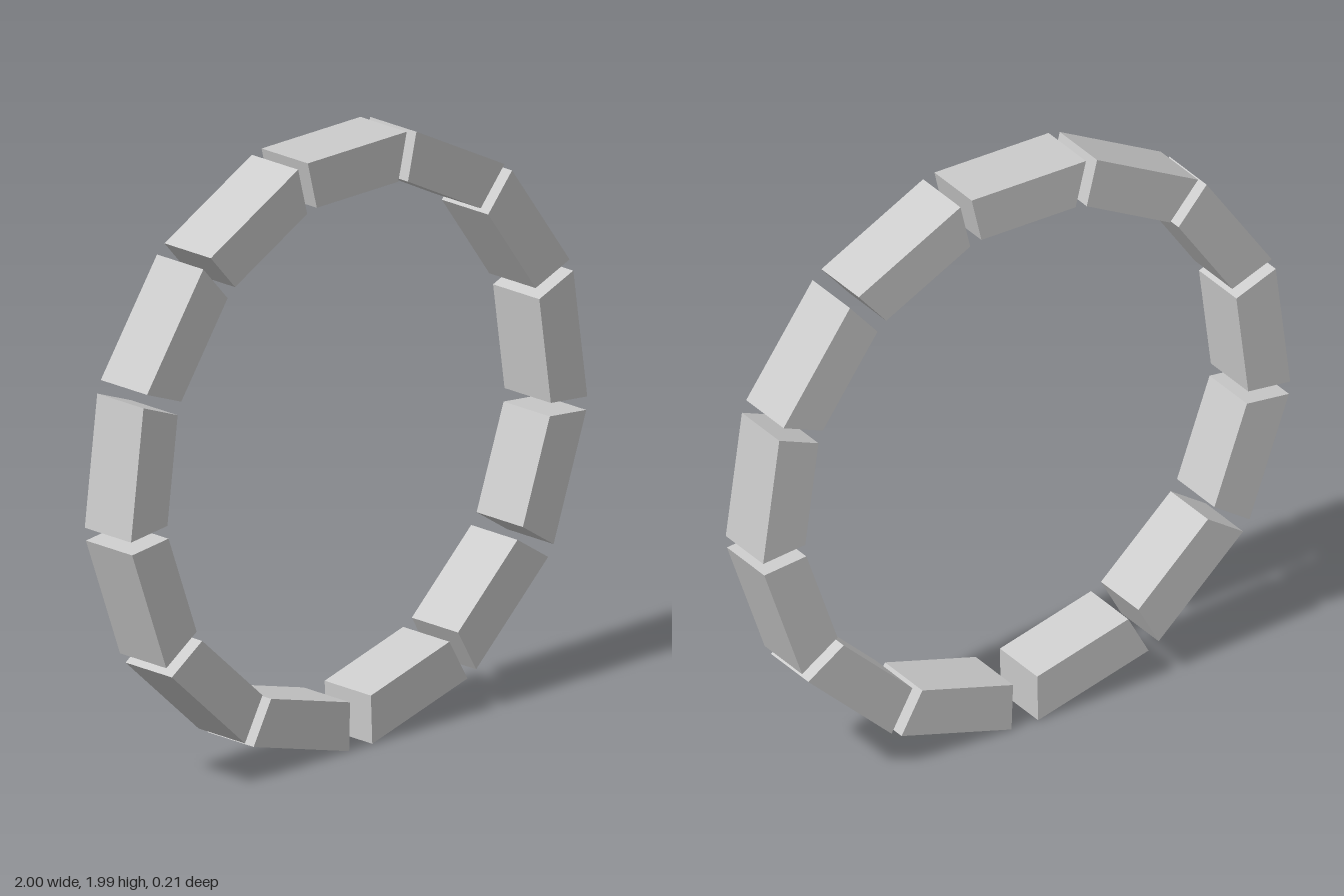
import * as THREE from 'three';

const COUNT = 13;
const RADIUS = 0.981;      // ring centre to the middle of a block's outer face
const THICKNESS = 0.156;
const DEPTH = 0.207;
const OUTER_HALF = 0.217;  // half length of the outer edge
const INNER_HALF = 0.179;  // half length of the inner edge
const FIRST_ANGLE = 15.8;  // degrees round from the bottom
const STEP = 27.44;        // slightly under a full share, leaving a wider gap at the bottom

// Wedge-shaped block lying at the bottom of the ring
function blockGeometry() {
  const inner = -RADIUS + THICKNESS;
  const shape = new THREE.Shape([
    new THREE.Vector2(-OUTER_HALF, -RADIUS),
    new THREE.Vector2(OUTER_HALF, -RADIUS),
    new THREE.Vector2(INNER_HALF, inner),
    new THREE.Vector2(-INNER_HALF, inner),
  ]);
  const geometry = new THREE.ExtrudeGeometry(shape, { depth: DEPTH, bevelEnabled: false });
  return geometry.translate(0, 0, -DEPTH / 2);
}

export function createModel() {
  const model = new THREE.Group();
  model.name = 'segmentedRing';

  const ring = new THREE.Group();
  ring.name = 'ringBlocks';
  ring.position.set(-0.003, 1.003, 0);
  model.add(ring);

  const geometry = blockGeometry();
  const material = new THREE.MeshStandardMaterial({ color: 0xcccccc, flatShading: true });

  // Blocks swung round the ring centre
  for (let i = 0; i < COUNT; i++) {
    const block = new THREE.Mesh(geometry, material);
    block.name = `ringBlock${i + 1}`;
    block.rotation.z = THREE.MathUtils.degToRad(FIRST_ANGLE + i * STEP);
    ring.add(block);
  }
  return model;
}
